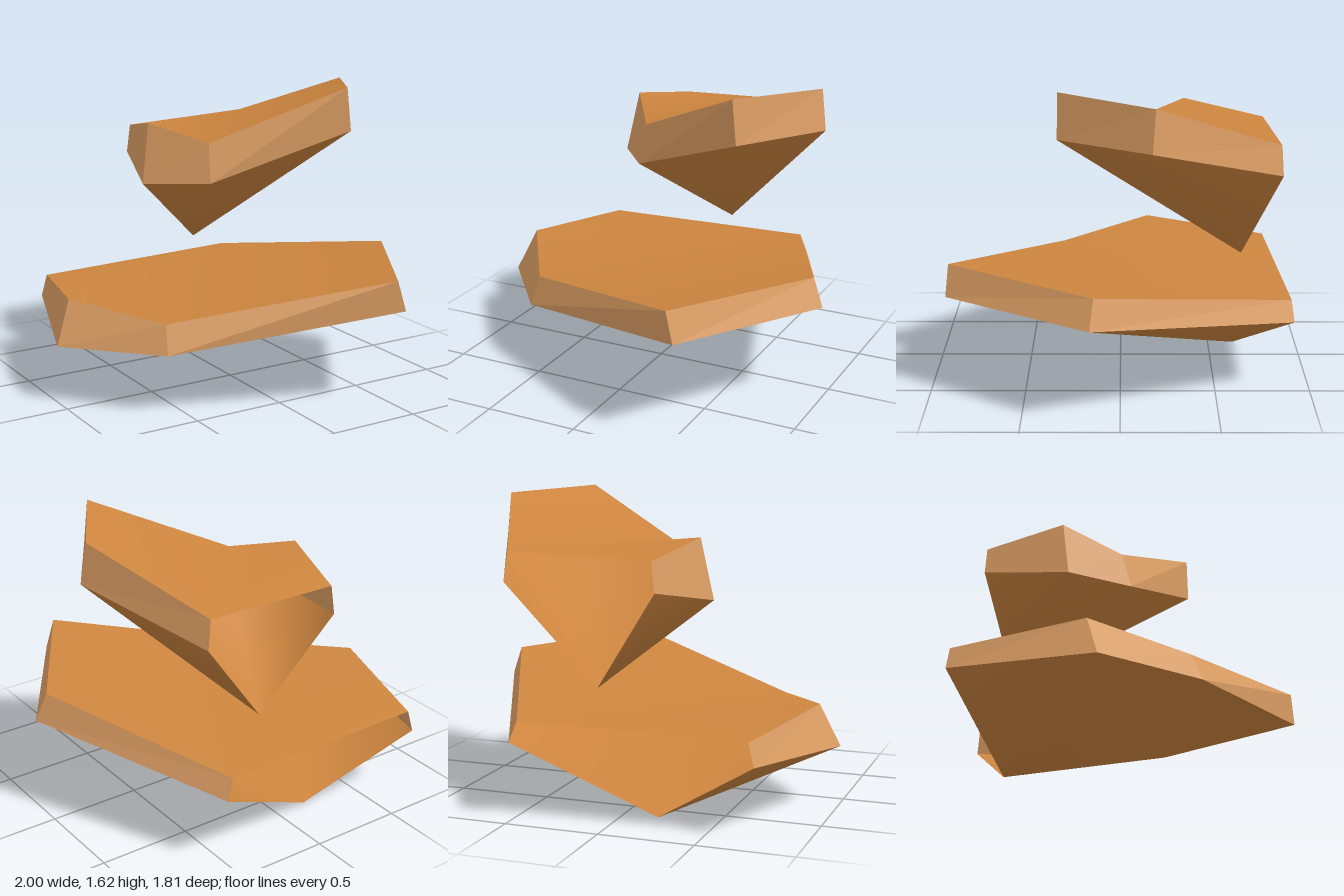
import * as THREE from 'three';

const orangeStone = new THREE.MeshStandardMaterial({ color: 0xcd853f, side: THREE.DoubleSide });
orangeStone.name = 'orange stone';
const tanStone = new THREE.MeshStandardMaterial({ color: 0xdc9e64, side: THREE.DoubleSide });
tanStone.name = 'tan stone';

function makeMesh(name, points, index, material, flat) {
  let geometry = new THREE.BufferGeometry();
  geometry.setAttribute('position', new THREE.Float32BufferAttribute(points.flat(), 3));
  geometry.setIndex(index);
  if (flat) geometry = geometry.toNonIndexed();
  geometry.computeVertexNormals();
  const mesh = new THREE.Mesh(geometry, material);
  mesh.name = name;
  return mesh;
}

// A rock shard: a top slab, a strip of rim walls left open at the back,
// and an underside that tapers to one low point.
function makeRock(name, upper, lower, tip) {
  const rock = new THREE.Group();
  rock.name = name;
  const n = upper.length;
  const top = [], rim = [], under = [];
  for (let i = 0; i < n - 1; i++) {
    if (i > 0) top.push(0, i + 1, i);
    rim.push(n + i + 1, n + i, i, n + i + 1, i, i + 1);
    under.push(i + 1, n, i);
  }
  rock.add(
    makeMesh('top', upper, top, orangeStone, false),
    makeMesh('rimWalls', [...upper, ...lower], rim, tanStone, true),
    makeMesh('underside', [...lower, tip], under, orangeStone, false)
  );
  return rock;
}

export function createModel() {
  const model = new THREE.Group();
  model.name = 'floatingRocks';

  // Rings start at the back left corner and run round the front
  model.add(makeRock('largeLowerRock',
    [[0.48, 0.505, -0.89], [0.94, 0.68, 0.13], [0.465, 0.695, 0.89],
      [-0.585, 0.485, 0.33], [-0.9, 0.545, -0.16], [-0.72, 0.485, -0.85]],
    [[0.52, 0.395, -0.905], [1.0, 0.53, 0.15], [0.51, 0.53, 0.905],
      [-0.61, 0.335, 0.39], [-1.0, 0.315, -0.1], [-0.75, 0.365, -0.86]],
    [-0.185, 0, -0.64]));

  model.add(makeRock('smallUpperRock',
    [[0.555, 1.35, -0.805], [0.84, 1.595, -0.17], [0.545, 1.615, 0.31],
      [-0.11, 1.32, -0.04], [-0.31, 1.405, -0.35], [-0.2, 1.325, -0.78]],
    [[0.575, 1.195, -0.815], [0.87, 1.38, -0.155], [0.57, 1.38, 0.315],
      [-0.13, 1.11, 0.01], [-0.37, 1.08, -0.31], [-0.22, 1.17, -0.785]],
    [0.14, 0.65, -0.65]));

  return model;
}
